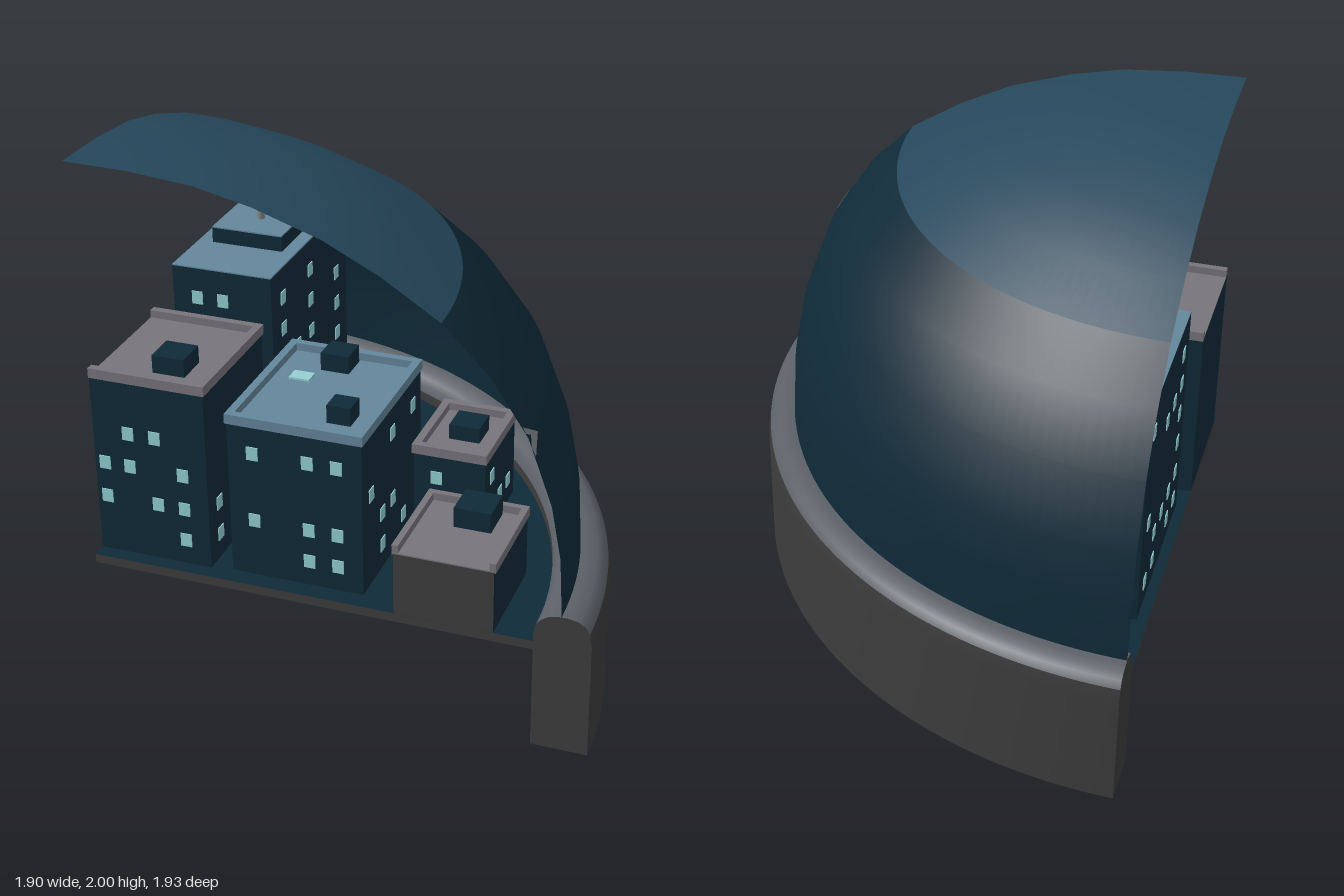
import * as THREE from 'three';

const paint = (name, color, side = THREE.FrontSide) => {
  const m = new THREE.MeshStandardMaterial({ color, side });
  m.name = name;
  return m;
};

export function createModel() {
  const root = new THREE.Group();
  root.name = 'domedCityQuarter';

  const two = THREE.DoubleSide;
  const rimGrey = paint('rimGrey', 0x3d3d3d, two);
  const rimTop = paint('rimTopGrey', 0x5b6067, two);
  const navy = paint('navy', 0x0f2a38, two);
  const blue = paint('domeBlue', 0x25475b, two);
  const roofBlue = paint('roofBlue', 0x64869b);
  const roofGrey = paint('roofGrey', 0x77757a);
  const lit = paint('windowLight', 0x93cfd2);
  const metal = paint('metalGrey', 0x80868a, two);
  const bulb = paint('beaconBrown', 0x4a3f3f);

  const add = (parent, name, geometry, material, x = 0, y = 0, z = 0) => {
    const mesh = new THREE.Mesh(geometry, material);
    mesh.name = name;
    mesh.position.set(x, y, z);
    parent.add(mesh);
    return mesh;
  };
  // Box given by its two limits on each axis
  const box = (parent, name, mat, x0, x1, y0, y1, z0, z1) =>
    add(parent, name, new THREE.BoxGeometry(x1 - x0, y1 - y0, z1 - z0), mat,
      (x0 + x1) / 2, (y0 + y1) / 2, (z0 + z1) / 2);

  // Quarter-round shell, centred on the front corner of the model
  const shell = new THREE.Group();
  shell.name = 'shell';
  shell.position.set(-0.95, 0, 0.963);
  shell.scale.z = 1.015;
  root.add(shell);
  const V = pts => pts.map(p => new THREE.Vector2(p[0], p[1]));
  const sweep = (name, pts, mat) =>
    add(shell, name, new THREE.LatheGeometry(V(pts), 48, Math.PI / 2, Math.PI / 2), mat);

  // Dome: dark lower band and lighter crown
  sweep('domeLower', [[1.79, 0.55], [1.778, 0.79], [1.742, 0.99], [1.655, 1.236],
    [1.522, 1.438], [1.35, 1.61]], navy);
  sweep('domeCrown', [[1.35, 1.61], [1.14, 1.743], [0.935, 1.845], [0.69, 1.926],
    [0.48, 1.973], [0.24, 1.995], [0.0005, 2]], blue);

  // Rim: walls, rounded top and the two cut ends
  const wallOut = [[1.9, 0], [1.9, 0.46], [1.892, 0.51]];
  const wallIn = [[1.69, 0.48], [1.69, 0]];
  const crest = [[1.892, 0.51], [1.875, 0.538], [1.85, 0.553], [1.815, 0.56], [1.775, 0.56],
    [1.74, 0.55], [1.715, 0.533], [1.698, 0.51], [1.69, 0.48]];
  sweep('rimOuterWall', wallOut, rimGrey);
  sweep('rimInnerWall', wallIn, rimGrey);
  sweep('rimUnderside', [[1.69, 0], [1.9, 0]], rimGrey);
  sweep('rimCrest', crest, rimTop);
  const capGeo = new THREE.ShapeGeometry(new THREE.Shape(V([...wallOut, ...crest.slice(1), [1.69, 0]])));
  add(shell, 'rimEndFront', capGeo, rimGrey);
  add(shell, 'rimEndSide', capGeo, rimGrey).rotation.y = Math.PI / 2;

  // Quarter-disc floor slab
  const floor = new THREE.Shape();
  floor.moveTo(0, 0);
  floor.lineTo(1.7, 0);
  floor.absarc(0, 0, 1.7, 0, Math.PI / 2, false);
  const floorGeo = new THREE.ExtrudeGeometry(floor, { depth: 0.035, bevelEnabled: false, curveSegments: 40 });
  floorGeo.rotateX(-Math.PI / 2);
  add(shell, 'floorSlab', floorGeo, [navy, rimGrey], 0, 0.405, 0);

  // Small pale chip on the dome's cut edge
  const chip = new THREE.BufferGeometry();
  chip.setAttribute('position', new THREE.Float32BufferAttribute(
    [0.732, 1.17, 0.962, 0.714, 1.225, 0.885, 0.684, 1.275, 0.962], 3));
  chip.computeVertexNormals();
  add(root, 'domeChip', chip, metal);

  // Windows lie on a shared grid of rows
  const rows = [0.54, 0.67, 0.81, 0.945, 1.08, 1.21];
  const paneGeo = new THREE.BoxGeometry(0.044, 0.053, 0.006);
  const pane = (g, x, y, z, turned) => {
    const w = add(g, 'window', paneGeo, lit, x, y, z);
    if (turned) w.rotation.y = Math.PI / 2;
  };
  let seed = 11;
  const rand = () => (seed = (seed * 16807) % 2147483647) / 2147483647;
  const scatter = (g, nRows, us, place) => {
    for (let r = 0; r < nRows; r++) for (const u of us) if (rand() < 0.55) place(u, rows[r]);
  };
  const spread = (a, b, n) => Array.from({ length: n }, (_, i) => (a + b) / 2 + (i - (n - 1) / 2) * (b - a) / (n + 0.6));

  // Building: walls, roof plate and parapet rails on the listed sides
  const building = (name, [x0, x1, top, z0, z1], roofMat, rails, wallMat = navy, t = 0.024) => {
    const g = new THREE.Group();
    g.name = name;
    root.add(g);
    const deck = rails ? top - 0.035 : top - 0.005;
    box(g, 'walls', wallMat, x0, x1, 0.44, deck, z0, z1);
    box(g, 'roof', roofMat, x0, x1, deck, deck + 0.005, z0, z1);
    const o = 0.006, y0 = deck - 0.003;
    const l = rails.includes('L') ? x0 - o : x0, r = rails.includes('R') ? x1 + o : x1;
    const f = rails.includes('F') ? z1 + o : z1;
    if (rails.includes('F')) box(g, 'parapetFront', roofMat, l, r, y0, top, z1 - t, f);
    if (rails.includes('B')) box(g, 'parapetBack', roofMat, l, r, y0, top, z0 - o, z0 + t);
    if (rails.includes('L')) box(g, 'parapetLowX', roofMat, l, x0 + t, y0, top, z0, f - 0.001);
    if (rails.includes('R')) box(g, 'parapetHighX', roofMat, x1 - t, r, y0, top, z0, f - 0.001);
    return g;
  };
  const vent = (g, x, y, z, w, h) => box(g, 'roofVent', navy, x - w / 2, x + w / 2, y, y + h, z - w / 2, z + w / 2);

  // Corner block
  const a = building('cornerBlock', [-0.95, -0.505, 1.19, 0.38, 0.905], roofGrey, 'FBR');
  [[-0.6, 0], [-0.91, 1], [-0.705, 1], [-0.6, 1], [-0.91, 2], [-0.81, 2], [-0.6, 2], [-0.81, 3], [-0.705, 3]]
    .forEach(([x, r]) => pane(a, x, rows[r], 0.906));
  scatter(a, 4, spread(0.38, 0.905, 4), (z, y) => pane(a, -0.504, y, z, true));
  vent(a, -0.68, 1.155, 0.75, 0.125, 0.075);

  // Middle block
  const b = building('middleBlock', [-0.425, 0.085, 1.09, 0.27, 0.89], roofBlue, 'FBLR');
  [[-0.12, 0], [-0.01, 0], [-0.33, 1], [-0.12, 1], [-0.01, 1], [-0.33, 3], [-0.12, 3], [-0.01, 3]]
    .forEach(([x, r]) => pane(b, x, rows[r], 0.891));
  for (const x of [-0.426, 0.086]) scatter(b, 4, spread(0.27, 0.89, 5), (z, y) => pane(b, x, y, z, true));
  scatter(b, 4, spread(-0.425, 0.085, 4), (x, y) => pane(b, x, y, 0.269));
  vent(b, -0.04, 1.055, 0.74, 0.09, 0.075);
  vent(b, -0.2, 1.055, 0.36, 0.11, 0.075);
  box(b, 'skylight', lit, -0.34, -0.26, 1.06, 1.068, 0.46, 0.52);

  // Tower with stepped top and mast
  const c = building('tower', [-0.91, -0.505, 1.335, -0.48, 0.28], roofBlue, '');
  [[-0.81, 5], [-0.705, 5], [-0.81, 4], [-0.6, 4]].forEach(([x, r]) => pane(c, x, rows[r], 0.281));
  for (const x of [-0.911, -0.504]) scatter(c, 6, spread(-0.48, 0.28, 5), (z, y) => pane(c, x, y, z, true));
  scatter(c, 6, spread(-0.91, -0.505, 3), (x, y) => pane(c, x, y, -0.481));
  box(c, 'towerStep', navy, -0.85, -0.56, 1.33, 1.395, -0.25, 0.04);
  box(c, 'towerStepRoof', roofBlue, -0.85, -0.56, 1.395, 1.4, -0.25, 0.04);
  add(c, 'mast', new THREE.CylinderGeometry(0.015, 0.015, 0.16, 10), metal, -0.705, 1.475, -0.1);
  add(c, 'beacon', new THREE.SphereGeometry(0.026, 12, 8), bulb, -0.705, 1.562, -0.1);

  // Low rear block
  const d = building('lowRearBlock', [0.1, 0.38, 0.8, 0.02, 0.39], roofGrey, 'FBLR');
  for (const y of [0.54, 0.67]) pane(d, 0.19, y, 0.391);
  for (const x of [0.099, 0.381]) scatter(d, 2, spread(0.02, 0.39, 3), (z, y) => pane(d, x, y, z, true));
  vent(d, 0.255, 0.765, 0.2, 0.12, 0.065);

  // Small front block, cut flush with the front plane
  const e = building('smallFrontBlock', [0.225, 0.595, 0.722, 0.56, 0.962], roofGrey, 'BLR',
    [navy, navy, navy, navy, rimGrey, navy], 0.018);
  vent(e, 0.44, 0.69, 0.66, 0.14, 0.08);

  return root;
}
